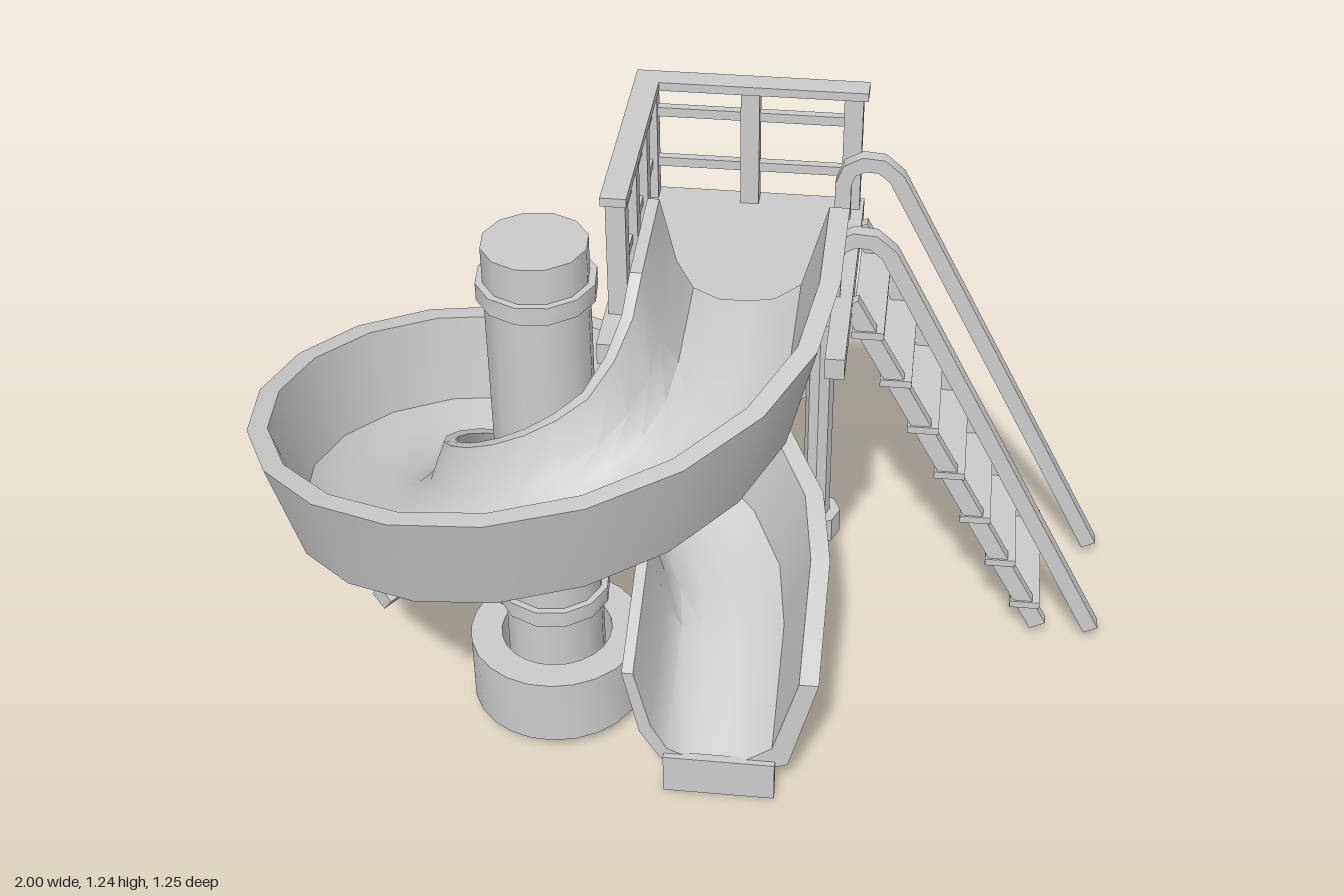
import * as THREE from 'three';
import { toCreasedNormals } from 'three/addons/utils/BufferGeometryUtils.js';

const grey = new THREE.MeshStandardMaterial({ color: 0xcccccc });
const CX = -0.385, CZ = 0.01;          // column axis
const PHI = THREE.MathUtils.degToRad(20.3); // heading of the deck and chute ends

function add(parent, name, geometry, x = 0, y = 0, z = 0) {
  const mesh = new THREE.Mesh(geometry, grey);
  mesh.name = name;
  mesh.position.set(x, y, z);
  parent.add(mesh);
  return mesh;
}

const box = (parent, name, w, h, d, x, y, z) => add(parent, name, new THREE.BoxGeometry(w, h, d), x, y, z);

function cylinder(parent, name, r, y0, y1, x, z, sides = 12) {
  const g = toCreasedNormals(new THREE.CylinderGeometry(r, r, y1 - y0, sides), 0.7);
  return add(parent, name, g, x, (y0 + y1) / 2, z);
}

// Square bar between two points
function bar(parent, name, a, b, w, d) {
  const p = new THREE.Vector3(...a), q = new THREE.Vector3(...b);
  const mesh = box(parent, name, w, p.distanceTo(q), d, 0, 0, 0);
  mesh.position.copy(p).lerp(q, 0.5);
  mesh.quaternion.setFromUnitVectors(new THREE.Vector3(0, 1, 0), q.sub(p).normalize());
  return mesh;
}

// Flat strip following a 2D path, given depth in z
function strip(points, half, depth) {
  const left = [], right = [];
  points.forEach(([x, y], i) => {
    const a = points[Math.max(i - 1, 0)], b = points[Math.min(i + 1, points.length - 1)];
    const n = new THREE.Vector2(a[1] - b[1], b[0] - a[0]).normalize().multiplyScalar(half);
    left.push(new THREE.Vector2(x + n.x, y + n.y));
    right.unshift(new THREE.Vector2(x - n.x, y - n.y));
  });
  const g = new THREE.ExtrudeGeometry(new THREE.Shape([...left, ...right]), { depth, bevelEnabled: false });
  g.translate(0, 0, -depth / 2);
  return toCreasedNormals(g, 0.7);
}

// Chute: one section swept along a straight entry, a full turn and a straight exit
function chuteGeometry() {
  // top surface [radius, height] paired with underside [radius, height]
  const section = [
    [0.215, 0.24, 0.19, 0.24], [0.25, 0.09, 0.225, 0.07], [0.285, 0.025, 0.27, -0.005],
    [0.34, 0, 0.335, -0.03], [0.405, 0, 0.405, -0.03], [0.46, 0.01, 0.475, -0.025],
    [0.515, 0.05, 0.55, 0.005], [0.57, 0.245, 0.612, 0.245],
  ];
  const frames = [];
  const turns = 20;
  frames.push({ a: PHI, run: -0.26, y: 0.945, wall: 1 });
  for (let i = 0; i <= turns; i++) {
    const t = i / turns;
    const wall = 1 - 0.35 * Math.min(1, Math.min(t, 1 - t) * 7);
    frames.push({ a: PHI + t * Math.PI * 2, run: 0, y: 0.93 - 0.72 * t, wall });
  }
  frames.push({ a: PHI, run: 0.27, y: 0.09, wall: 1 });

  const rings = frames.map(({ a, run, y, wall }) => {
    const point = (r, h) => [
      CX + r * Math.cos(a) - run * Math.sin(a),
      y + (r < 0.28 ? h * wall : h),
      CZ + r * Math.sin(a) + run * Math.cos(a),
    ];
    const top = section.map(s => point(s[0], s[1]));
    const under = section.map(s => point(s[2], s[3])).reverse();
    return [...top, ...under];
  });

  const pos = [];
  const quad = (a, b, c, d) => pos.push(...a, ...b, ...c, ...a, ...c, ...d);
  const n = section.length * 2;
  for (let i = 0; i < rings.length - 1; i++) {
    for (let j = 0; j < n; j++) {
      const k = (j + 1) % n;
      quad(rings[i][j], rings[i + 1][j], rings[i + 1][k], rings[i][k]);
    }
  }
  const first = rings[0], last = rings[rings.length - 1];
  for (let j = 0; j < section.length - 1; j++) {
    const m = n - 1 - j;
    quad(first[j], first[j + 1], first[m - 1], first[m]);
    quad(last[m], last[m - 1], last[j + 1], last[j]);
  }
  const g = new THREE.BufferGeometry();
  g.setAttribute('position', new THREE.Float32BufferAttribute(pos, 3));
  return toCreasedNormals(g, 0.65);
}

function createColumn(root) {
  const column = new THREE.Group();
  column.name = 'column';
  root.add(column);
  cylinder(column, 'post', 0.11, 0.1, 1.23, CX, CZ);
  for (const y of [0.33, 0.62, 1.13]) cylinder(column, 'collar', 0.125, y - 0.02, y + 0.02, CX, CZ);

  // base ring, open at the back
  const q = Math.PI / 4;
  const ring = new THREE.Shape();
  ring.absarc(0, 0, 0.195, 3 * q, 9 * q, false);
  ring.absarc(0, 0, 0.125, 9 * q, 3 * q, true);
  const g = new THREE.ExtrudeGeometry(ring, { depth: 0.165, bevelEnabled: false, curveSegments: 9 });
  g.rotateX(-Math.PI / 2);
  add(column, 'base', toCreasedNormals(g, 0.7), CX, 0.035, CZ);

  // arm carrying the chute
  bar(column, 'supportArm', [CX, 0.62, CZ], [-0.78, 0.62, 0.30], 0.04, 0.04);
}

function createDeck(deck) {
  // floor with two arms beside the chute
  const outline = [[0, 0], [0.52, 0], [0.52, 0.645], [0.478, 0.645], [0.478, 0.455],
    [0.09, 0.455], [0.09, 0.645], [0, 0.645]].map(p => new THREE.Vector2(...p));
  const floor = new THREE.ExtrudeGeometry(new THREE.Shape(outline), { depth: 0.05, bevelEnabled: false });
  floor.rotateX(Math.PI / 2);
  add(deck, 'deckFloor', floor, 0, 0.94, 0);

  // legs with feet and caps
  const legs = [0.10, 0.438], legZ = 0.1;
  for (const x of legs) {
    cylinder(deck, 'leg', 0.033, 0.04, 0.9, x, legZ, 8);
    cylinder(deck, 'legFoot', 0.06, 0.035, 0.1, x, legZ, 8);
    cylinder(deck, 'legCap', 0.058, 0.835, 0.9, x, legZ, 8);
  }
  // two crossed braces, one above the other
  for (const [lo, hi] of [[0.16, 0.49], [0.5, 0.82]]) {
    bar(deck, 'brace', [legs[0], lo, legZ - 0.012], [legs[1], hi, legZ - 0.012], 0.026, 0.02);
    bar(deck, 'brace', [legs[0], hi, legZ + 0.012], [legs[1], lo, legZ + 0.012], 0.026, 0.02);
  }

  // railing on the back and one side
  const inset = 0.03;
  for (const z of [inset, 0.19, 0.35, 0.51]) box(deck, 'railPost', 0.042, 0.29, 0.042, inset, 1.08, z);
  for (const x of [0.26, 0.49]) box(deck, 'railPost', 0.042, 0.29, 0.042, x, 1.08, inset);
  for (const y of [1.03, 1.157]) {
    box(deck, 'middleRail', 0.02, 0.022, 0.5, inset, y, 0.27);
    box(deck, 'middleRail', 0.48, 0.022, 0.02, 0.26, y, inset);
  }
  box(deck, 'topRail', 0.055, 0.02, 0.55, inset, 1.23, 0.28);
  box(deck, 'topRail', 0.52, 0.02, 0.055, 0.262, 1.23, inset);
}

function createLadder(deck) {
  const ladder = new THREE.Group();
  ladder.name = 'ladder';
  deck.add(ladder);
  const handrail = [[0.475, 0.9], [0.475, 1.03], [0.488, 1.065], [0.52, 1.083],
    [0.56, 1.08], [0.595, 1.05], [1.115, 0.04]];
  const stringer = [[0.515, 0.92], [0.99, 0.04]];
  for (const z of [0.08, 0.395]) {
    add(ladder, 'handrail', strip(handrail, 0.018, 0.032), 0, 0, z);
    add(ladder, 'stringer', strip(stringer, 0.02, 0.026), 0, 0, z);
  }
  for (let i = 0; i < 7; i++) {
    const y = 0.105 + i * 0.123;
    const x = 0.99 - (y - 0.04) * 0.54;
    box(ladder, 'tread', 0.07, 0.018, 0.35, x, y, 0.2375);
  }
}

export function createModel() {
  const root = new THREE.Group();
  root.name = 'spiralSlide';
  createColumn(root);
  add(root, 'chute', chuteGeometry());

  // plate holding up the end of the chute
  const plate = box(root, 'exitPlate', 0.245, 0.1, 0.02, -0.105, 0.05, 0.405);
  plate.rotation.y = -PHI;

  const deck = new THREE.Group();
  deck.name = 'platform';
  deck.position.set(-0.04, 0, -0.625);
  deck.rotation.y = -PHI;
  root.add(deck);
  createDeck(deck);
  createLadder(deck);
  return root;
}
